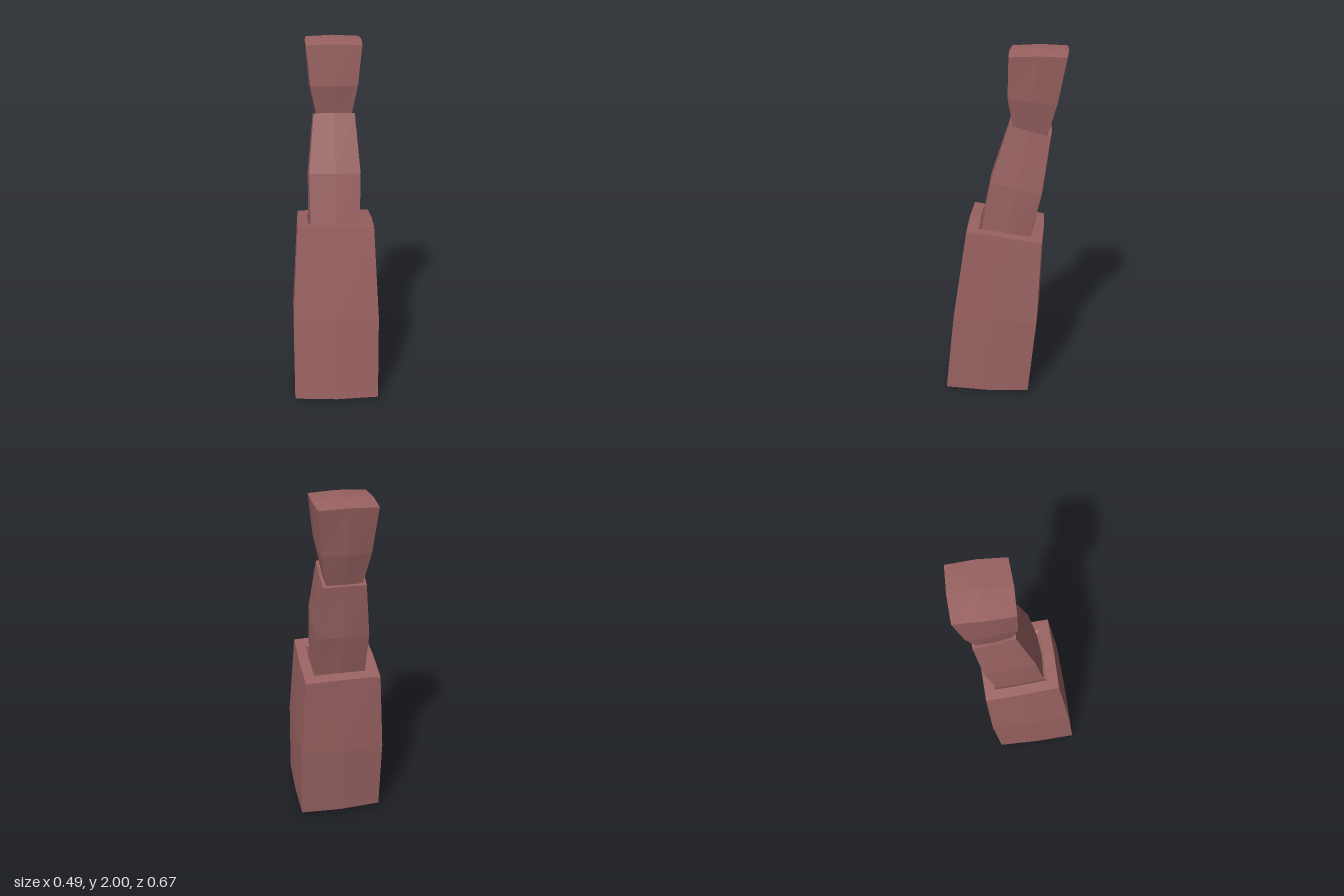
import * as THREE from 'three';

// Ring: [half width, front z, front y, back z, back y, bulge of edge middles, lift of edge middles]
function ringPoints([w, zf, yf, zb, yb, bulge, lift = 0]) {
  const zm = (zf + zb) / 2, ym = (yf + yb) / 2;
  return [
    [-w, yf, zf], [0, yf + lift, zf + bulge], [w, yf, zf], [w + bulge, ym + lift, zm],
    [w, yb, zb], [0, yb + lift, zb - bulge], [-w, yb, zb], [-w - bulge, ym + lift, zm],
  ];
}

// Joins rings from bottom to top; caps are fans around a raised or lowered centre
function loft(name, rings, material, bottomLift, topLift) {
  const loops = rings.map(ringPoints);
  const pos = [];
  const tri = (a, b, c) => pos.push(...a, ...b, ...c);
  for (let r = 0; r < loops.length - 1; r++) {
    const a = loops[r], b = loops[r + 1];
    for (let i = 0; i < 8; i++) {
      const j = (i + 1) % 8;
      tri(a[i], a[j], b[j]);
      tri(a[i], b[j], b[i]);
    }
  }
  const centre = ([, zf, yf, zb, yb], lift) => [0, (yf + yb) / 2 + lift, (zf + zb) / 2];
  const first = loops[0], last = loops[loops.length - 1];
  const cb = centre(rings[0], bottomLift), ct = centre(rings[rings.length - 1], topLift);
  for (let i = 0; i < 8; i++) {
    const j = (i + 1) % 8;
    tri(cb, first[j], first[i]);
    tri(ct, last[i], last[j]);
  }
  const geometry = new THREE.BufferGeometry();
  geometry.setAttribute('position', new THREE.Float32BufferAttribute(pos, 3));
  geometry.computeVertexNormals();
  const mesh = new THREE.Mesh(geometry, material);
  mesh.name = name;
  return mesh;
}

export function createModel() {
  const model = new THREE.Group();
  model.name = 'segmentedFinger';
  const skin = new THREE.MeshStandardMaterial({ color: 0x9a6262 });
  skin.name = 'dusty red';

  // Wide lower segment with a rim and shallow socket on top
  model.add(loft('lowerSegment', [
    [0.24, 0.33, 0.02, -0.155, 0.02, 0.005, -0.008],
    [0.24, 0.275, 0.51, -0.2, 0.49, 0.006],
    [0.21, 0.195, 1.035, -0.22, 0.975, 0.004, 0.004],
    [0.155, 0.135, 1.03, -0.162, 0.988, 0.002, 0.003],
    [0.138, 0.122, 1.015, -0.148, 0.976, 0.004],
  ], skin, -0.02, 0));

  // Middle segment, leaning back
  model.add(loft('middleSegment', [
    [0.137, 0.12, 1.01, -0.15, 0.97, 0.012],
    [0.142, 0.067, 1.3, -0.212, 1.24, 0.008],
    [0.113, -0.032, 1.615, -0.252, 1.552, 0.004, 0.003],
    [0.098, -0.05, 1.608, -0.236, 1.556, 0.002],
  ], skin, 0, 0));

  // Flared tip with a low crown
  model.add(loft('fingertip', [
    [0.095, -0.052, 1.595, -0.232, 1.55, 0.004],
    [0.128, -0.024, 1.765, -0.282, 1.735, 0.008],
    [0.15, -0.03, 1.983, -0.328, 1.987, 0.006, 0.006],
  ], skin, 0, 0.015));

  return model;
}
